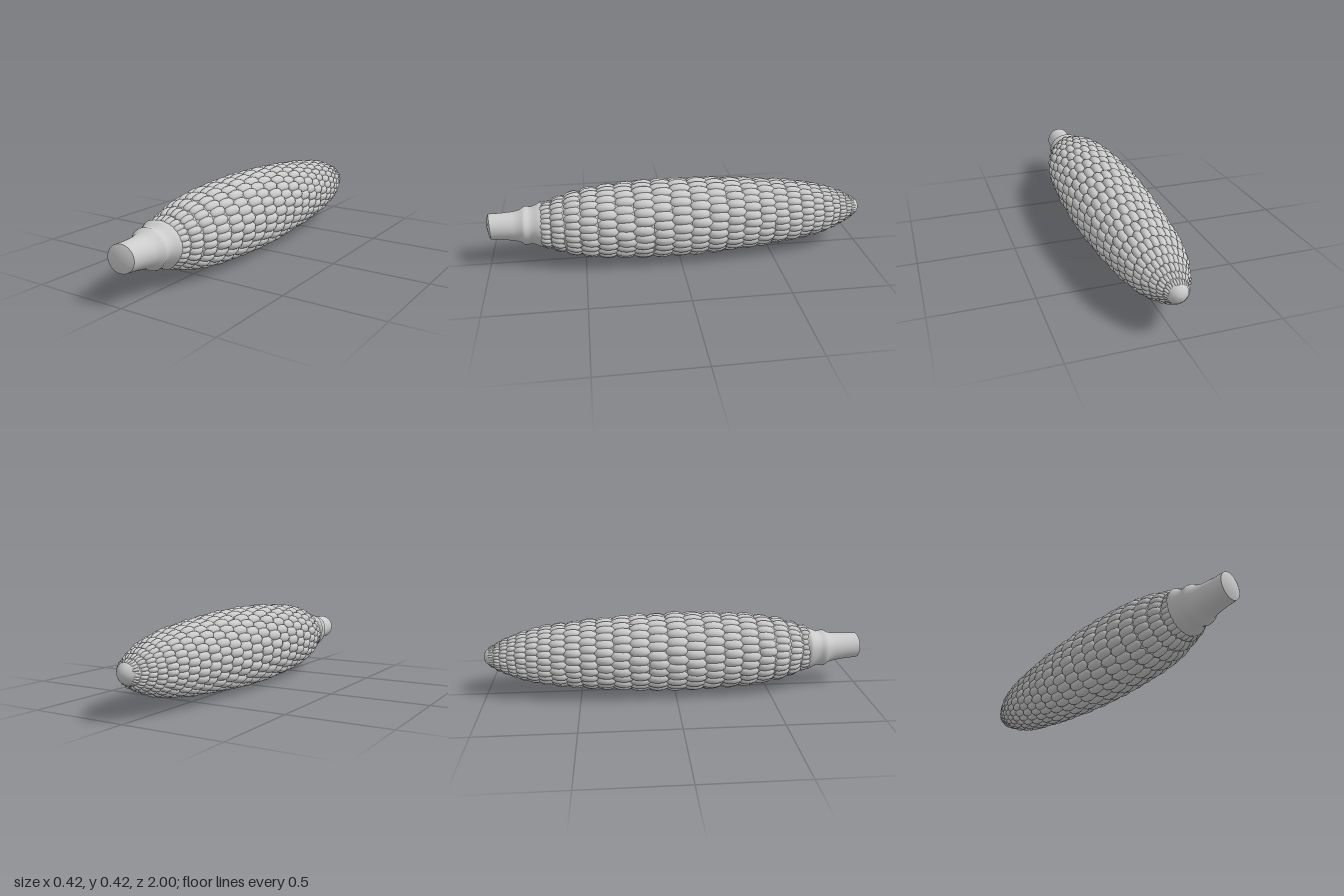
import * as THREE from 'three';
import { mergeGeometries, mergeVertices } from 'three/addons/utils/BufferGeometryUtils.js';

const material = new THREE.MeshStandardMaterial({ color: 0xcccccc, roughness: 0.8 });
const AXIS_Y = 0.215;
const COLUMNS = 26;

// Outer radius of the cob along z, from tip to base
const PROFILE = [
  [-1, 0.02], [-0.97, 0.05], [-0.9, 0.09], [-0.8, 0.13], [-0.7, 0.155], [-0.6, 0.17], [-0.4, 0.191],
  [-0.2, 0.205], [0, 0.211], [0.2, 0.208], [0.4, 0.196], [0.5, 0.183], [0.6, 0.158], [0.7, 0.122], [0.76, 0.085],
];

function radiusAt(z) {
  let i = 0;
  while (i < PROFILE.length - 2 && z > PROFILE[i + 1][0]) i++;
  const [z0, r0] = PROFILE[i], [z1, r1] = PROFILE[i + 1];
  return r0 + (r1 - r0) * (z - z0) / (z1 - z0);
}

let seed = 7;
const jitter = (amount) => {
  seed = (seed * 16807) % 2147483647;
  return (seed / 2147483647 - 0.5) * 2 * amount;
};

// Lathe around the z axis, from [z, r] pairs in order of rising z
function latheZ(pairs, segments) {
  const points = pairs.map(([z, r]) => new THREE.Vector2(r, z));
  return new THREE.LatheGeometry(points, segments).rotateX(Math.PI / 2);
}

function weldSmooth(geometry) {
  geometry.deleteAttribute('uv');
  geometry.deleteAttribute('normal');
  const welded = mergeVertices(geometry, 1e-4);
  welded.computeVertexNormals();
  return welded;
}

function mesh(name, geometry) {
  const m = new THREE.Mesh(geometry, material);
  m.name = name;
  return m;
}

// One plump kernel: x is width, y outward, z along the cob
function kernelShape() {
  const g = new THREE.SphereGeometry(1, 10, 8);
  const p = g.attributes.position;
  const boxy = (v) => Math.sign(v) * Math.pow(Math.abs(v), 0.85);
  for (let i = 0; i < p.count; i++) p.setXYZ(i, boxy(p.getX(i)), p.getY(i), boxy(p.getZ(i)));
  return weldSmooth(g);
}

// Staggered rings of kernels, shorter towards both ends
function kernelGeometry() {
  const base = kernelShape();
  const parts = [];
  let ring = 0;
  for (let z = -0.955; z < 0.73; ring++) {
    const r = radiusAt(z);
    const pitch = 0.022 + 0.075 * Math.pow(r / 0.211, 1.6);
    const slope = Math.atan((radiusAt(z + 0.02) - radiusAt(z - 0.02)) / 0.04);
    const depth = 0.008 + 0.11 * r;
    const halfWidth = Math.PI * r / COLUMNS * 1.18;
    for (let i = 0; i < COLUMNS; i++) {
      const angle = (i + (ring % 2) / 2) / COLUMNS * Math.PI * 2 + jitter(0.012);
      const g = base.clone();
      g.scale(halfWidth, depth, pitch * 0.62);
      g.rotateX(-slope);
      g.translate(0, r - depth + jitter(0.002), z + jitter(pitch * 0.07));
      g.rotateZ(angle);
      parts.push(g);
    }
    z += pitch;
  }
  return mergeGeometries(parts);
}

// Stalk with an uneven collar that settles to a round end
function stalkGeometry() {
  const sections = [
    [0.66, 0.09], [0.712, 0.114], [0.722, 0.117], [0.745, 0.105], [0.77, 0.095], [0.785, 0.097], [0.8, 0.1],
    [0.812, 0.097], [0.83, 0.084], [0.86, 0.076], [0.92, 0.07], [0.985, 0.067],
  ];
  const g = latheZ(sections, 40);
  const p = g.attributes.position;
  for (let i = 0; i < p.count; i++) {
    const x = p.getX(i), y = p.getY(i), z = p.getZ(i);
    const a = Math.atan2(y, x);
    const uneven = THREE.MathUtils.clamp((0.9 - z) / 0.12, 0, 1);
    const k = 1 + uneven * (0.035 * Math.cos(3 * a - 1.2) + 0.03 * Math.cos(2 * a + 1.1) + 0.015 * Math.cos(5 * a));
    const end = THREE.MathUtils.smoothstep(z, 0.8, 0.985);
    p.setXYZ(i, x * k - 0.006 * uneven, y * k + 0.008 * end, z - 0.15 * x * end);
  }
  return weldSmooth(g);
}

// Slightly domed cut face closing the stalk
function cutGeometry() {
  const g = latheZ([[0.985, 0.067], [0.994, 0.045], [1, 0]], 40);
  const p = g.attributes.position;
  for (let i = 0; i < p.count; i++) {
    p.setY(i, p.getY(i) + 0.008);
    p.setZ(i, p.getZ(i) - 0.15 * p.getX(i));
  }
  return weldSmooth(g);
}

export function createModel() {
  const cob = new THREE.Group();
  cob.name = 'cornCob';

  // Inner core just below the kernel tops
  const core = PROFILE.slice(1).map(([z, r]) => [z, r * 0.93 - 0.004]);
  cob.add(mesh('core', latheZ(core, 52)));

  cob.add(mesh('kernels', kernelGeometry()));

  // Smooth rounded tip
  const tip = [[-1, 0], [-0.998, 0.015], [-0.99, 0.031], [-0.975, 0.045], [-0.955, 0.056], [-0.92, 0.068]];
  cob.add(mesh('tip', latheZ(tip, 32)));

  cob.add(mesh('stalk', stalkGeometry()));
  cob.add(mesh('stalkCut', cutGeometry()));

  cob.position.y = AXIS_Y;
  const model = new THREE.Group();
  model.name = 'corn';
  model.add(cob);
  return model;
}
